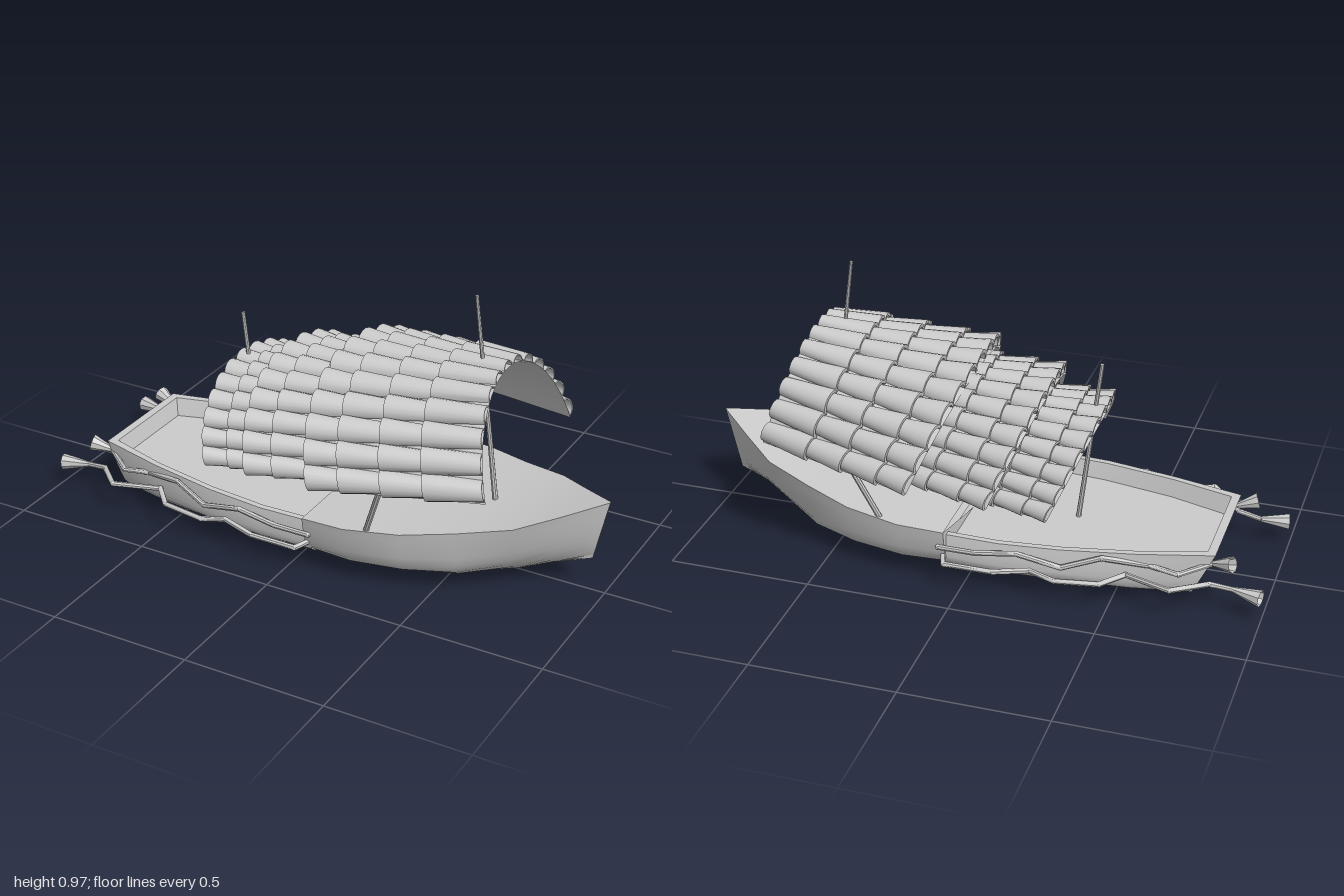
import * as THREE from 'three';
import { mergeGeometries, toCreasedNormals } from 'three/addons/utils/BufferGeometryUtils.js';

const V = (x, y, z) => new THREE.Vector3(x, y, z);
const material = new THREE.MeshStandardMaterial({ color: 0xcccccc, side: THREE.DoubleSide });

// Skin a list of equally long rows of points
function grid(rows) {
  const n = rows[0].length, index = [];
  for (let i = 0; i < rows.length - 1; i++) {
    for (let j = 0; j < n - 1; j++) {
      const a = i * n + j, b = a + n;
      index.push(a, b, a + 1, b, b + 1, a + 1);
    }
  }
  const g = new THREE.BufferGeometry().setFromPoints(rows.flat());
  g.setIndex(index);
  return g;
}

function add(parent, name, geometry, crease = 0.6) {
  const mesh = new THREE.Mesh(toCreasedNormals(geometry, crease), material);
  mesh.name = name;
  parent.add(mesh);
}

// Round bar between two points; r2 is the radius at the far end
function bar(a, b, r, r2 = r, open = false) {
  const d = b.clone().sub(a);
  const g = new THREE.CylinderGeometry(r2, r, d.length(), 8, 1, open);
  g.applyQuaternion(new THREE.Quaternion().setFromUnitVectors(V(0, 1, 0), d.normalize()));
  const m = a.clone().add(b).multiplyScalar(0.5);
  return g.translate(m.x, m.y, m.z);
}

// Hull section: half profile (width, height fractions) mirrored across the keel
function section(profile, [x, w, top, keel, rake]) {
  const half = new THREE.SplineCurve(profile.map(p => new THREE.Vector2(...p))).getPoints(10);
  const side = s => half.map(p => V(x + rake * p.y, keel + (top - keel) * p.y, s * w * p.x));
  return [...side(1), ...side(-1).reverse().slice(1)];
}
const endCap = s => grid([s, s.map(() => V((s[0].x + s[10].x) / 2, (s[0].y + s[10].y) / 2, 0))]);

function bowHull() {
  const group = new THREE.Group();
  group.name = 'bowHull';
  const round = [[1, 1], [0.96, 0.6], [0.87, 0.26], [0.52, 0.07], [0, 0]];
  const vee = [[1, 1], [0.84, 0.6], [0.62, 0.3], [0.32, 0.1], [0, 0]];
  const rows = [
    [0.06, 0.37, 0.205, 0.022, 0], [0.22, 0.38, 0.215, 0.018, 0], [0.4, 0.345, 0.23, 0.018, 0.01],
    [0.56, 0.275, 0.248, 0.018, 0.02], [0.71, 0.205, 0.275, 0.02, 0.04], [0.83, 0.105, 0.308, 0.07, 0.045],
    [0.95, 0.003, 0.345, 0.12, 0.05],
  ].map((s, i) => section(i < 4 ? round : vee, s));
  add(group, 'bowShell', grid(rows), 0.9);
  add(group, 'bowDeck', grid(rows.map(r => [r[r.length - 1], r[0]])));
  add(group, 'bowBulkhead', endCap(rows[0]));
  return group;
}

function sternHull() {
  const group = new THREE.Group();
  group.name = 'sternHull';
  const profile = [[1, 1], [1.02, 0.5], [0.95, 0.15], [0.5, 0.03], [0, 0]];
  const rows = [
    [0.08, 0.335, 0.18, 0.04, 0], [-0.12, 0.34, 0.18, 0.04, 0], [-0.33, 0.322, 0.183, 0.035, 0],
    [-0.55, 0.275, 0.185, 0.018, -0.03], [-0.74, 0.212, 0.188, 0, -0.09],
  ].map(s => section(profile, s));
  add(group, 'sternShell', grid(rows), 0.9);
  add(group, 'transom', endCap(rows[4]));

  // Rim runs round the open well, whose walls slope down to the floor
  const port = rows.map(r => r[0]);
  const ring = (dx, dz, y) => {
    const side = s => port.map((p, i) => V(p.x + (i === 4 ? dx : 0), y ?? p.y, s * (p.z - dz)));
    return [...side(1), ...side(-1).reverse()];
  };
  const outer = ring(0, 0), inner = ring(0.03, 0.022), floor = ring(0.045, 0.04, 0.125);
  add(group, 'rim', grid([outer, inner]));
  add(group, 'wellWalls', grid([inner, floor]));
  add(group, 'wellFloor', grid([floor.slice(0, 5), floor.slice(5).reverse()]));
  return group;
}

// Arch: x at crown, x at edge, crown y, edge y, half width; t runs -1..1 across
const ARC = 1.36;
function archPoint([xc, xe, yc, ye, w], t) {
  const drop = (1 - Math.cos(t * ARC)) / (1 - Math.cos(ARC));
  return V(xc + (xe - xc) * drop, yc + (ye - yc) * drop, w * Math.sin(t * ARC) / Math.sin(ARC));
}

// One roof panel: a thin vault covered in overlapping half-round tiles
function roofPanel(name, rear, front) {
  const STRIPS = 13, COURSES = [0, 0.19, 0.43, 0.67, 1];
  const group = new THREE.Group();
  group.name = name;
  const P = (s, t) => archPoint(rear, t).lerp(archPoint(front, t), s);
  const across = Array.from({ length: 27 }, (_, i) => i / 13 - 1);
  add(group, 'vault', grid([0, 0.25, 0.5, 0.75, 1].map(s => across.map(t => P(s, t)))), 0.9);

  // Half-round outline on the vault, lifted along its normal
  const half = (s, t, scale, lift) => {
    const T = P(s, t + 0.02).sub(P(s, t - 0.02));
    const r = T.length() / 0.04 / STRIPS;
    const L = P(1, t).sub(P(0, t));
    const N = T.clone().cross(L).normalize();
    T.normalize();
    return Array.from({ length: 9 }, (_, i) => {
      const a = Math.PI * i / 8;
      return P(s, t).addScaledVector(T, r * scale * Math.cos(a))
        .addScaledVector(N, r * 0.85 * scale * Math.sin(a) + lift);
    });
  };
  const tiles = [];
  for (let k = 0; k < STRIPS; k++) {
    const t = (2 * k + 1) / STRIPS - 1;
    for (let r = 0; r < COURSES.length - 1; r++) {
      const s0 = COURSES[r], s1 = Math.min(1, COURSES[r + 1] + 0.03);
      const rows = [half(s0, t, 1.14, 0.008), half(s1, t, 0.82, 0), half(s1, t, 0.7, 0), half(s0, t, 0.92, 0.004)];
      tiles.push(grid([...rows, rows[0]]));
    }
  }
  add(group, 'tiles', mergeGeometries(tiles), 0.7);
  return group;
}

// Bent pipe with a flared, open mouth at its aft end
function pipe(points, mouth) {
  const pts = points.map(p => V(...p)), parts = [];
  for (let i = 0; i < pts.length - 1; i++) {
    parts.push(bar(pts[i], pts[i + 1], 0.0095));
    parts.push(new THREE.SphereGeometry(0.0098, 8, 6).translate(...pts[i + 1].toArray()));
  }
  parts.push(bar(pts[0], V(...mouth), 0.01, 0.029, true));
  return mergeGeometries(parts);
}

export function createModel() {
  const model = new THREE.Group();
  model.name = 'roofedBoat';
  model.add(bowHull(), sternHull());

  // Three roof panels of one shape, each larger one overlapping the next toward the bow
  model.add(
    roofPanel('aftRoof', [-0.385, -0.3, 0.52, 0.318, 0.38], [0.07, 0.14, 0.585, 0.325, 0.275]),
    roofPanel('middleRoof', [-0.2, -0.11, 0.588, 0.358, 0.43], [0.31, 0.39, 0.657, 0.375, 0.305]),
    roofPanel('foreRoof', [0.045, 0.15, 0.655, 0.392, 0.47], [0.62, 0.71, 0.738, 0.425, 0.335]),
  );

  // Masts and roof struts
  add(model, 'aftMast', bar(V(-0.305, 0.125, 0.01), V(-0.375, 0.715, 0.01), 0.009, 0.007));
  add(model, 'foreMast', bar(V(0.598, 0.24, 0.01), V(0.505, 0.972, 0.01), 0.01, 0.006));

  for (const s of [1, -1]) {
    const side = s > 0 ? 'left' : 'right';
    add(model, side + 'Strut', bar(V(0.285, 0.2, s * 0.345), V(0.362, 0.4, s * 0.395), 0.01));
    // Side pipes
    add(model, side + 'LowerPipe', pipe([
      [-0.9, 0.088, s * 0.24], [-0.82, 0.1, s * 0.25], [-0.71, 0.12, s * 0.36], [-0.55, 0.115, s * 0.3],
      [-0.48, 0.11, s * 0.375], [-0.33, 0.1, s * 0.385], [-0.24, 0.115, s * 0.37], [-0.12, 0.105, s * 0.4],
      [0.05, 0.105, s * 0.4], [0.07, 0.105, s * 0.34],
    ], [-0.995, 0.083, s * 0.26]));
    add(model, side + 'UpperPipe', pipe([
      [-0.82, 0.15, s * 0.2], [-0.72, 0.13, s * 0.27], [-0.62, 0.14, s * 0.26], [-0.47, 0.17, s * 0.31],
      [-0.34, 0.13, s * 0.345], [-0.19, 0.165, s * 0.36], [-0.05, 0.145, s * 0.365], [0.08, 0.145, s * 0.365],
    ], [-0.89, 0.17, s * 0.22]));
  }
  return model;
}
